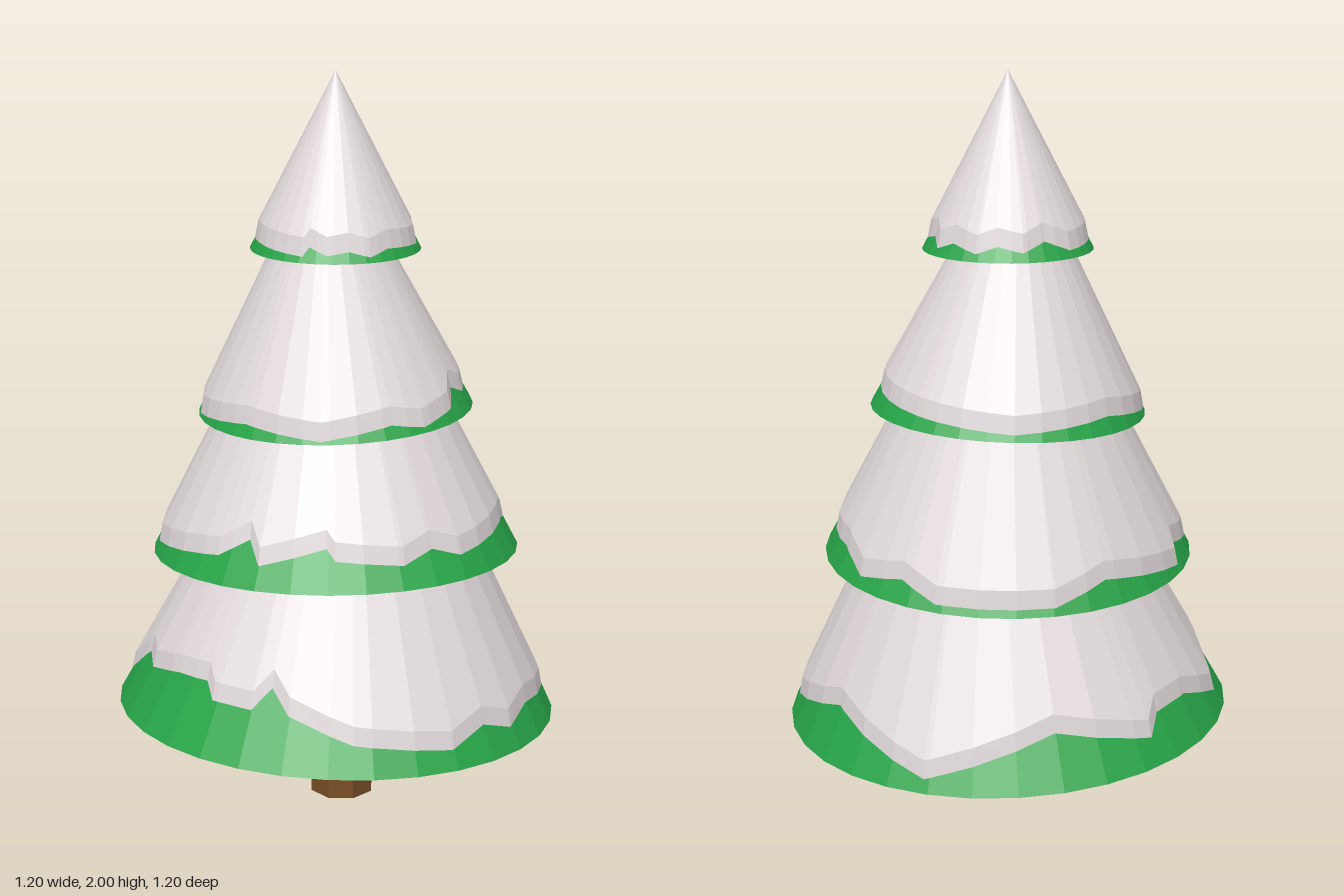
import * as THREE from 'three';

const SIDES = 32;
const SLOPE = 0.52; // radius lost per unit of height
const SNOW = 0.015; // how far the snow stands out from the branches

// Builds the snow cap: a cone down to a ragged edge, with a steep lip back to the branches.
// The edge is given as [degrees from +x to +z, radius] turning points.
function snowGeometry(radius, edge) {
  const closed = [...edge, [360, edge[0][1]]];
  const edgeRadius = deg => {
    const i = closed.findIndex((p, n) => n > 0 && deg <= p[0]);
    const [a, ra] = closed[i - 1], [b, rb] = closed[i];
    return ra + (rb - ra) * (deg - a) / (b - a);
  };
  const angles = new Set(edge.map(p => p[0]));
  for (let i = 0; i < SIDES; i++) angles.add(i * 360 / SIDES);

  const ring = [...angles].sort((a, b) => a - b).map(deg => {
    const t = THREE.MathUtils.degToRad(deg), outer = edgeRadius(deg), inner = outer + 0.01;
    const at = (r, y) => [Math.cos(t) * r, y, Math.sin(t) * r];
    return { upper: at(outer, (radius + SNOW - outer) / SLOPE), lower: at(inner, (radius - inner) / SLOPE) };
  });
  const apex = [0, (radius + SNOW) / SLOPE, 0];
  const points = [];
  ring.forEach((p, i) => {
    const q = ring[(i + 1) % ring.length];
    points.push(apex, q.upper, p.upper);
    points.push(p.upper, q.upper, p.lower, q.upper, q.lower, p.lower);
  });
  const geometry = new THREE.BufferGeometry();
  geometry.setAttribute('position', new THREE.Float32BufferAttribute(points.flat(), 3));
  geometry.computeVertexNormals();
  return geometry;
}

export function createModel() {
  const material = (name, color) => {
    const m = new THREE.MeshStandardMaterial({ color, flatShading: true });
    m.name = name;
    return m;
  };
  const green = material('needleGreen', 0x27a548);
  const white = material('snowWhite', 0xe2dadc);
  const brown = material('barkBrown', 0x784d26);

  const tree = new THREE.Group();
  tree.name = 'snowyTree';
  const add = (parent, name, geometry, mat) => {
    const mesh = new THREE.Mesh(geometry, mat);
    mesh.name = name;
    parent.add(mesh);
    return mesh;
  };

  // One tier of branches: a cone standing on its rim, tilted along an axis and capped with snow
  const addTier = (name, radius, y, z, axis, edge) => {
    const group = new THREE.Group();
    group.name = name;
    group.position.set(0, y, z);
    group.quaternion.setFromUnitVectors(new THREE.Vector3(0, 1, 0), new THREE.Vector3(...axis).normalize());
    const height = radius / SLOPE;
    add(group, 'branches', new THREE.ConeGeometry(radius, height, SIDES), green).position.y = height / 2;
    add(group, 'snow', snowGeometry(radius, edge), white);
    tree.add(group);
  };

  // Trunk
  const trunk = add(tree, 'trunk', new THREE.CylinderGeometry(0.09, 0.09, 0.6, 8), brown);
  trunk.position.set(0.0125, 0.3, 0.02);
  trunk.rotation.y = 0.2;

  // Tiers from the ground up
  addTier('bottomTier', 0.6, 0.265, 0, [0.042, 1, -0.042], [
    [0, 0.565], [34, 0.545], [46, 0.56], [56, 0.545], [68, 0.565], [95, 0.55], [113, 0.52], [119, 0.49],
    [124, 0.52], [137, 0.52], [141, 0.5], [154, 0.505], [169, 0.52], [177, 0.51], [193, 0.565],
    [212, 0.53], [226, 0.53], [231, 0.555], [259, 0.52], [294, 0.573], [328, 0.52]]);
  addTier('lowerMiddleTier', 0.495, 0.715, -0.007, [0, 1, -0.066], [
    [0, 0.455], [18, 0.44], [55, 0.455], [66, 0.44], [77, 0.455], [99, 0.445], [102, 0.43], [124, 0.455],
    [129, 0.425], [140, 0.45], [182, 0.47], [202, 0.45], [205, 0.475], [240, 0.452], [258, 0.475],
    [295, 0.475], [308, 0.455], [325, 0.47], [340, 0.45]]);
  addTier('upperMiddleTier', 0.367, 1.105, -0.008, [-0.034, 1, 0], [
    [0, 0.33], [20, 0.333], [32, 0.318], [40, 0.34], [60, 0.35], [75, 0.34], [105, 0.353], [140, 0.34],
    [180, 0.353], [225, 0.335], [270, 0.348], [310, 0.34]]);
  addTier('topTier', 0.225, 1.535, -0.01, [0, 1, 0], [
    [0, 0.2], [15, 0.195], [20, 0.205], [60, 0.2], [75, 0.208], [90, 0.2], [105, 0.205], [118, 0.195],
    [122, 0.207], [175, 0.2], [225, 0.205], [245, 0.19], [262, 0.203], [280, 0.195], [295, 0.205],
    [315, 0.195], [330, 0.205], [340, 0.192]]);
  return tree;
}
